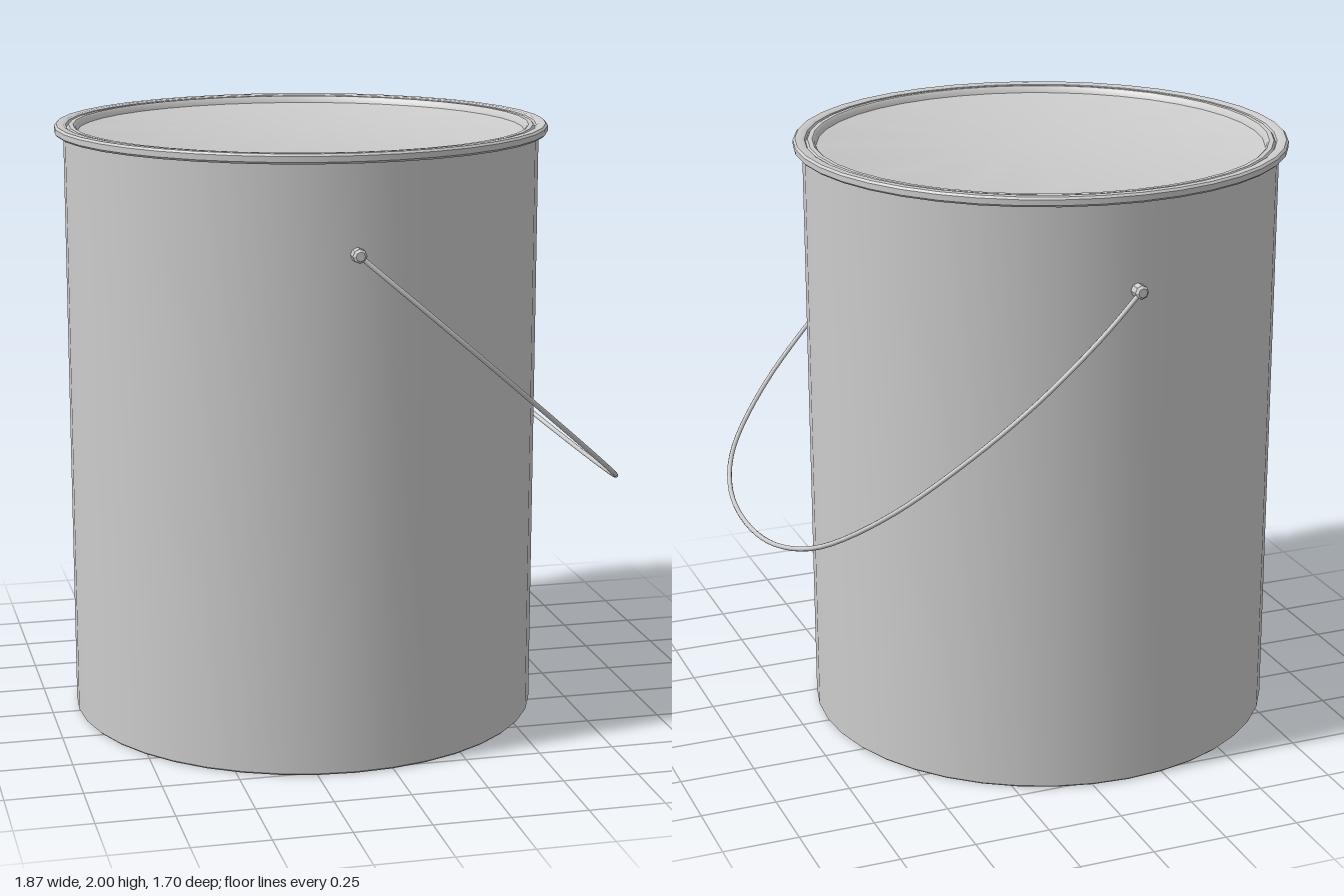
import * as THREE from 'three';
import { toCreasedNormals } from 'three/addons/utils/BufferGeometryUtils.js';

const SEGMENTS = 40;
const PIVOT_Y = 1.685;

export function createModel() {
  const can = new THREE.Group();
  can.name = 'paintCan';
  can.position.x = -0.125;
  const material = new THREE.MeshStandardMaterial({ color: 0xcccccc });

  const add = (name, geometry, parent = can) => {
    const mesh = new THREE.Mesh(geometry, material);
    mesh.name = name;
    parent.add(mesh);
    return mesh;
  };
  // Revolve [radius, height] pairs, listed from the bottom up on the outside
  const turned = (profile) => toCreasedNormals(
    new THREE.LatheGeometry(profile.map(([r, y]) => new THREE.Vector2(r, y)), SEGMENTS), 0.6);

  // Straight drum with its closed base
  add('body', turned([[0, 0], [0.779, 0], [0.785, 0.006], [0.785, 1.97]]));

  // Rolled rim around the mouth
  add('rim', turned([
    [0.785, 1.968], [0.807, 1.968], [0.815, 1.975], [0.815, 1.993],
    [0.808, 2], [0.785, 2], [0.777, 1.996], [0.773, 1.988],
  ]));

  // Pressed lid: raised bead, then a slightly sunken flat panel
  add('lid', turned([
    [0.773, 1.988], [0.767, 1.996], [0.752, 1.996], [0.745, 1.99],
    [0.739, 1.974], [0.732, 1.972], [0, 1.972],
  ]));

  // Small faceted ear on each side that holds the wire
  for (const side of [1, -1]) {
    const ear = new THREE.Group();
    ear.name = side > 0 ? 'frontEar' : 'backEar';
    ear.position.set(0, PIVOT_Y, side * 0.8);
    ear.rotation.x = side * Math.PI / 2;
    can.add(ear);
    add('earBase', toCreasedNormals(new THREE.CylinderGeometry(0.023, 0.023, 0.032, 8), 0.6), ear);
    const cap = add('earCap', toCreasedNormals(new THREE.CylinderGeometry(0.015, 0.023, 0.009, 8), 0.3), ear);
    cap.position.y = 0.02;
  }

  // Wire handle: half outline as [fraction of drop, half width], mirrored in z
  const half = [
    [0, 0.808], [0.1, 0.832], [0.22, 0.842], [0.36, 0.832], [0.53, 0.783],
    [0.74, 0.672], [0.9, 0.495], [0.975, 0.28],
  ];
  const reach = 1.05, drop = 0.91;
  const point = (t, z) => new THREE.Vector3(reach * t, PIVOT_Y - drop * t, z);
  const path = new THREE.CatmullRomCurve3([
    ...half.map(([t, z]) => point(t, z)),
    point(1, 0),
    ...half.slice().reverse().map(([t, z]) => point(t, -z)),
  ]);
  add('handle', new THREE.TubeGeometry(path, 72, 0.008, 8));

  const model = new THREE.Group();
  model.name = 'model';
  model.add(can);
  return model;
}
